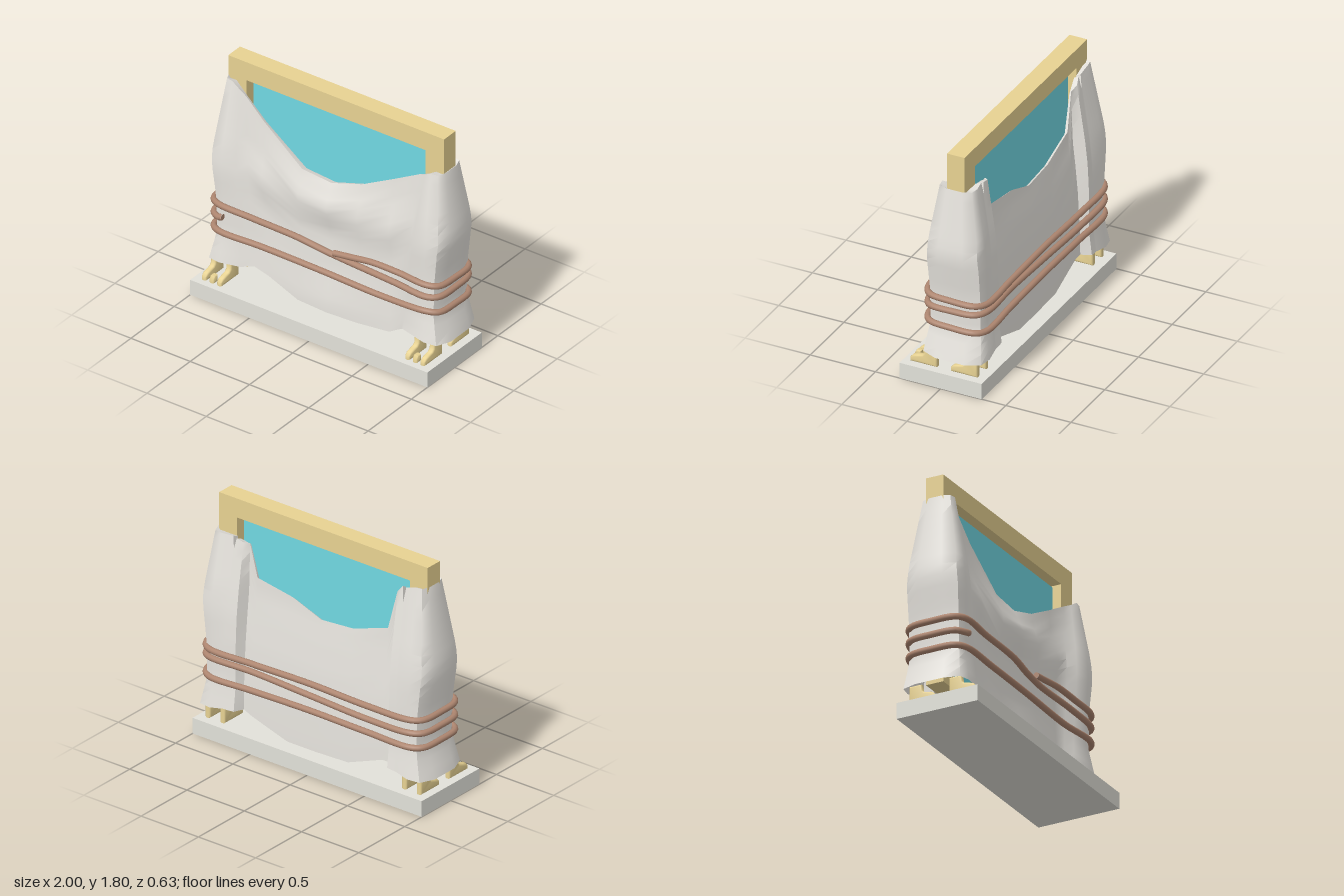
import * as THREE from 'three';
import { toCreasedNormals } from 'three/addons/utils/BufferGeometryUtils.js';

const { lerp, clamp } = THREE.MathUtils;

const paint = (name, color, side = THREE.FrontSide) => {
  const m = new THREE.MeshStandardMaterial({ color, side });
  m.name = name;
  return m;
};

// Piecewise linear lookup; ys run from high to low
function sample(ys, vs, y) {
  if (y >= ys[0]) return vs[0];
  for (let i = 1; i < ys.length; i++) {
    if (y >= ys[i]) return lerp(vs[i], vs[i - 1], (y - ys[i]) / (ys[i - 1] - ys[i]));
  }
  return vs[vs.length - 1];
}

// Depth profiles of the cloth, read at these heights
const LEVELS = [1.65, 1.15, 0.97, 0.75, 0.45, 0.2];
const MID_Z = -0.065;
const FRONT = {
  column: [0.05, 0.135, 0.15, 0.14, 0.14, 0.18],
  inner: [0.03, 0.11, 0.13, 0.13, 0.13, 0.15],
  valley: [0.015, 0.06, 0.08, 0.085, 0.085, 0.1],
  swag: [0.01, 0.05, 0.11, 0.07, 0.08, 0.1],
  centre: [0.02, 0.045, 0.125, 0.06, 0.07, 0.11],
};
const BACK = {
  column: [-0.18, -0.265, -0.28, -0.28, -0.28, -0.31],
  inner: [-0.165, -0.24, -0.26, -0.27, -0.27, -0.3],
  sheet: [-0.145, -0.16, -0.18, -0.2, -0.215, -0.22],
};

// Cloth: a closed band of stations [x, top, hem, profile, depth scale, lean towards hem, notch height]
function clothGeometry() {
  const corner = (s, top, front) => {
    const p = (front ? FRONT : BACK).column;
    const list = [[s * 0.85, top, 0.24, p, 1], [s * 0.92, top, 0.235, p, 0.92], [s * 0.95, top, 0.23, p, 0.45]];
    return (s > 0) === front ? list : list.reverse();
  };
  const stations = [
    ...corner(-1, 1.65, true),
    [-0.79, 1.6, 0.25, FRONT.inner, 1, 0.09], [-0.74, 1.55, 0.26, FRONT.valley, 1, 0.12],
    [-0.59, 1.41, 0.23, FRONT.swag, 1, 0.09], [-0.25, 1.16, 0.13, FRONT.swag, 1],
    [0, 1.14, 0.125, FRONT.centre, 1], [0.25, 1.22, 0.13, FRONT.swag, 1],
    [0.52, 1.36, 0.16, FRONT.swag, 1], [0.73, 1.475, 0.22, FRONT.valley, 1, -0.11],
    [0.79, 1.505, 0.26, FRONT.inner, 1, -0.12],
    ...corner(1, 1.54, true),
    ...corner(1, 1.54, false),
    [0.75, 1.54, 0.26, BACK.inner, 1], [0.735, 1.54, 0.26, BACK.inner, 1, 0, 1.45],
    [0.72, 1.53, 0.26, BACK.inner, 1], [0.66, 1.52, 0.265, BACK.inner, 1],
    [0.63, 1.51, 0.265, BACK.sheet, 1], [0.56, 1.27, 0.235, BACK.sheet, 1],
    [0.25, 1.22, 0.14, BACK.sheet, 1], [0, 1.13, 0.14, BACK.sheet, 1],
    [-0.28, 1.15, 0.15, BACK.sheet, 1], [-0.58, 1.25, 0.265, BACK.sheet, 1],
    [-0.65, 1.53, 0.265, BACK.sheet, 1], [-0.68, 1.57, 0.265, BACK.inner, 1],
    [-0.72, 1.62, 0.26, BACK.inner, 1], [-0.735, 1.62, 0.26, BACK.inner, 1, 0, 1.51],
    [-0.75, 1.62, 0.26, BACK.inner, 1],
    ...corner(-1, 1.65, false),
  ];
  const rows = 19, n = stations.length, pos = [], index = [];
  for (const [x0, top, hem, profile, k, lean = 0, notch = 2] of stations) {
    for (let j = 0; j <= rows; j++) {
      const t = Math.max(j - 1, 0) / (rows - 1);
      const y = Math.min(lerp(top, hem, t), notch - t * 0.001);
      const flare = sample([1.65, 1.05, 0.72, 0.45, 0.23], [0.91, 0.998, 0.95, 0.94, 1], y) - 0.95;
      const w = sample([0.94, 0.9, 0.8], [1, 0.55, 0], Math.abs(x0));
      const x = x0 + lean * t + Math.sign(x0) * flare * w;
      const z = MID_Z + (sample(LEVELS, profile, y) - MID_Z) * k;
      // The first row turns the top edge in to the frame
      if (j) pos.push(x, y, z);
      else pos.push(clamp(x, -0.9, 0.9), y - 0.02, clamp(z, -0.135, -0.002));
    }
  }
  for (let i = 0; i < n; i++) {
    for (let j = 0; j < rows; j++) {
      const a = i * (rows + 1) + j, c = ((i + 1) % n) * (rows + 1) + j;
      index.push(a, a + 1, c, c, a + 1, c + 1);
    }
  }
  const g = new THREE.BufferGeometry();
  g.setAttribute('position', new THREE.Float32BufferAttribute(pos, 3));
  g.setIndex(index);
  return toCreasedNormals(g, 1.0);
}

// Rope bend around one end of the frame, from front to back for s = 1
function bend(s, yFront, yBack) {
  const plan = [[0.88, 0.158], [0.95, 0.11], [0.966, -0.06], [0.95, -0.23], [0.88, -0.284]];
  const pts = plan.map(([x, z], i) => new THREE.Vector3(s * x, lerp(yFront, yBack, i / 4), z));
  return s > 0 ? pts : pts.reverse();
}

// Side outline (z, y) extruded along x into a slim rounded toe
function toeGeometry(points, width) {
  const bevel = 0.014;
  const shape = new THREE.Shape(points.map(([z, y]) => new THREE.Vector2(z, y)));
  const g = new THREE.ExtrudeGeometry(shape, {
    depth: width - 2 * bevel, bevelSize: bevel, bevelThickness: bevel, bevelOffset: -bevel, bevelSegments: 3,
  });
  g.translate(0, 0, bevel - width / 2);
  g.rotateY(-Math.PI / 2);
  return toCreasedNormals(g, 0.8);
}

export function createModel() {
  const group = new THREE.Group();
  const stone = paint('stone', 0xe2e1d9);
  const gold = paint('pale gold', 0xf0da98);
  const glass = paint('blue glass', 0x71d8e2);
  const linen = paint('linen', 0xe8e5df, THREE.DoubleSide);
  const hemp = paint('brown rope', 0xae8670);
  const add = (name, geometry, material, x = 0, y = 0, z = 0) => {
    const m = new THREE.Mesh(geometry, material);
    m.name = name;
    m.position.set(x, y, z);
    group.add(m);
    return m;
  };

  // Base slab
  add('baseSlab', new THREE.BoxGeometry(2, 0.12, 0.63), stone, 0, 0.06, 0);

  // Frame: top rail and two posts in one outline
  const outline = [[-0.91, 0.25], [-0.755, 0.25], [-0.755, 1.66], [0.755, 1.66], [0.755, 0.25], [0.91, 0.25], [0.91, 1.805], [-0.91, 1.805]];
  const frameShape = new THREE.Shape(outline.map(([x, y]) => new THREE.Vector2(x, y)));
  add('frame', new THREE.ExtrudeGeometry(frameShape, { depth: 0.135, bevelEnabled: false }), gold, 0, 0, -0.137);

  // Pane
  add('pane', new THREE.BoxGeometry(1.475, 1.37, 0.02), glass, 0, 0.955, -0.07);

  // Feet: two long toes with ankles and a short middle toe, four times
  const longToe = toeGeometry([[0.06, 0.12], [0.165, 0.12], [0.265, 0.12], [0.265, 0.15], [0.245, 0.172],
    [0.21, 0.182], [0.175, 0.19], [0.16, 0.205], [0.155, 0.25], [0.06, 0.25]], 0.045);
  const shortToe = toeGeometry([[0.215, 0.12], [0.265, 0.12], [0.265, 0.15], [0.25, 0.175], [0.215, 0.175]], 0.045);
  for (const s of [-1, 1]) {
    for (const z of [0, -0.31]) {
      for (const x of [0.793, 0.922]) add('footLongToe', longToe, gold, s * x, 0, z);
      add('footMiddleToe', shortToe, gold, s * 0.857, 0, z);
    }
  }

  // Draped cloth
  add('drapedCloth', clothGeometry(), linen);

  // Long rope winding twice around the cloth
  const v = (x, y, z) => new THREE.Vector3(x, y, z);
  const F = 0.158, B = -0.288;
  const windings = [
    v(0.1, 0.67, F + 0.005), v(0.25, 0.69, F + 0.003), v(0.42, 0.712, F), v(0.65, 0.712, F),
    ...bend(1, 0.7, 0.675),
    v(0.5, 0.68, B), v(0, 0.69, B), v(-0.5, 0.68, B),
    ...bend(-1, 0.7, 0.69),
    v(-0.6, 0.69, F), v(-0.2, 0.68, F), v(0, 0.65, F - 0.01), v(0.2, 0.632, F - 0.015), v(0.6, 0.622, F),
    ...bend(1, 0.605, 0.615),
    v(0.5, 0.62, B), v(0, 0.6, B), v(-0.5, 0.58, B),
    ...bend(-1, 0.595, 0.59),
    v(-0.84, 0.605, F),
  ];
  const tube = (pts, closed, segs) =>
    new THREE.TubeGeometry(new THREE.CatmullRomCurve3(pts, closed), segs, 0.023, 10, closed);
  add('windingRope', tube(windings, false, 260), hemp);
  [windings[0], windings[windings.length - 1]].forEach((p, i) => {
    const cap = add('ropeEnd', new THREE.CircleGeometry(0.023, 10), hemp, p.x, p.y, p.z);
    cap.rotation.y = i ? Math.PI / 2 : -Math.PI / 2;
  });

  // Lower rope ring
  const ring = [
    v(-0.5, 0.49, F), v(0, 0.485, F), v(0.5, 0.472, F), ...bend(1, 0.49, 0.465),
    v(0.5, 0.475, B), v(0, 0.485, B), v(-0.5, 0.48, B), ...bend(-1, 0.485, 0.48),
  ];
  add('lowerRope', tube(ring, true, 150), hemp);

  return group;
}
